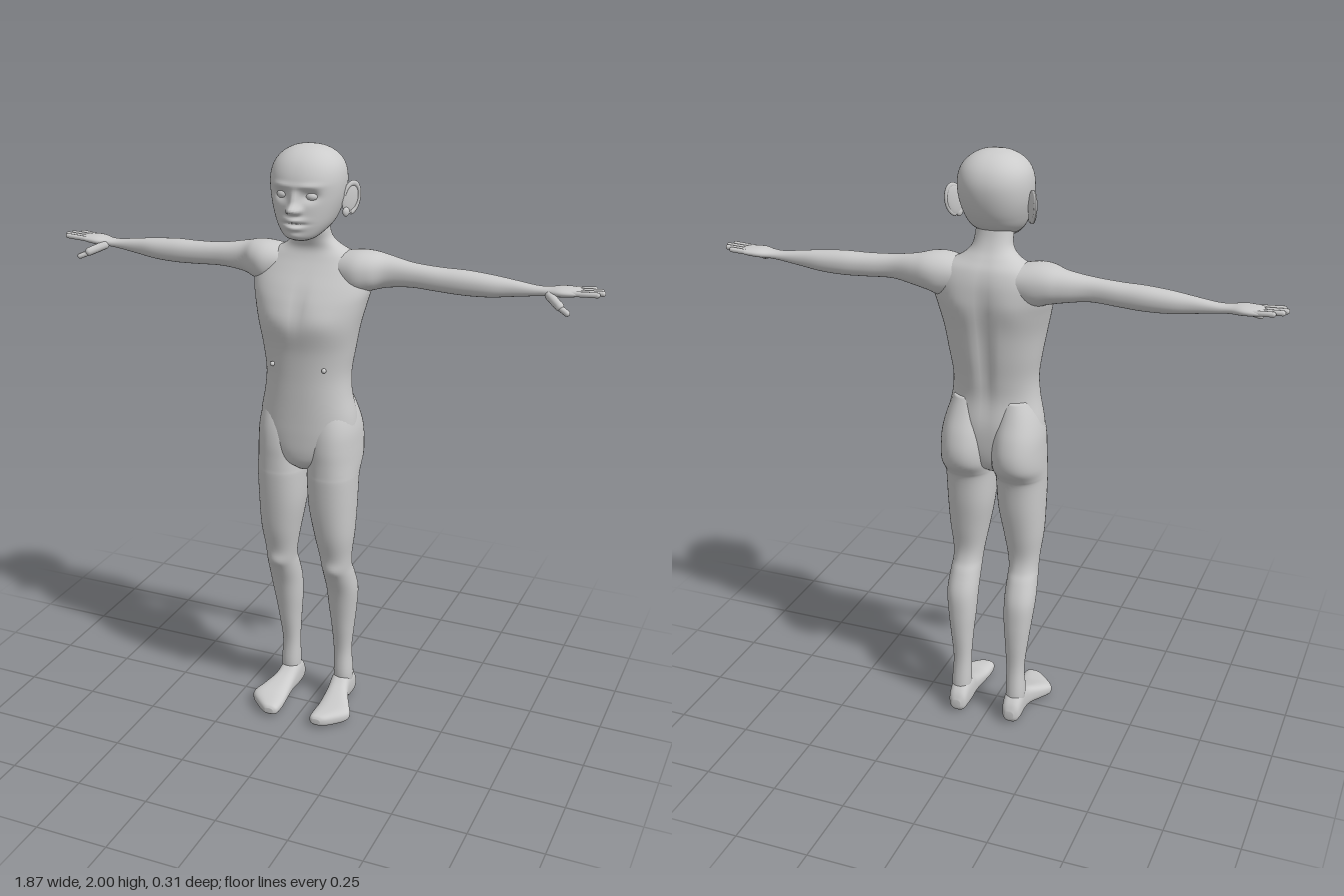
import * as THREE from 'three';

const skin = new THREE.MeshStandardMaterial({ color: 0xcccccc });

const spline = (a, b, c, d, t) =>
  0.5 * (2 * b + (c - a) * t + (2 * a - 5 * b + 4 * c - d) * t * t + (3 * b - a - 3 * c + d) * t * t * t);

// Smooth skin over rounded cross-sections. Row: [s, u0, u1, v0, v1], s along the axis.
// Axis y: u = x, v = z.  Axis x: u = y, v = z.  Axis z: u = x, v = y.
function loft(axis, rows, { sides = 40, steps = 5, power = 2.2, bumps = [] } = {}) {
  const place = {
    x: (s, u, v) => [s, u, v],
    y: (s, u, v) => [u, s, v],
    z: (s, u, v) => [u, v, s],
  }[axis];
  const round = (c) => Math.sign(c) * Math.abs(c) ** (2 / power);
  const last = rows.length - 1, rings = last * steps + 1;
  const pos = [], index = [];
  const tri = (a, b, c) => (axis === 'y' ? index.push(a, c, b) : index.push(a, b, c));
  for (let i = 0; i < rings; i++) {
    const k = Math.min(Math.floor(i / steps), last - 1), t = i / steps - k;
    const [s, u0, u1, v0, v1] = rows[k].map((b, n) =>
      spline(rows[Math.max(k - 1, 0)][n], b, rows[k + 1][n], rows[Math.min(k + 2, last)][n], t));
    for (let j = 0; j < sides; j++) {
      const a = (j / sides) * Math.PI * 2;
      const u = (u0 + u1) / 2 + (u1 - u0) / 2 * round(Math.cos(a));
      const v = (v0 + v1) / 2 + (v1 - v0) / 2 * round(Math.sin(a));
      pos.push(...place(s, u, v));
      if (i < rings - 1) {
        const p = i * sides + j, q = i * sides + (j + 1) % sides;
        tri(p, q, p + sides);
        tri(q, q + sides, p + sides);
      }
    }
  }
  // End caps
  for (const [row, start, flip] of [[rows[0], 0, true], [rows[last], (rings - 1) * sides, false]]) {
    const centre = pos.length / 3;
    pos.push(...place(row[0], (row[1] + row[2]) / 2, (row[3] + row[4]) / 2));
    for (let j = 0; j < sides; j++) {
      const p = start + j, q = start + (j + 1) % sides;
      flip ? tri(centre, q, p) : tri(centre, p, q);
    }
  }
  // Soft sculpting pushes along z: [x, y, z, radiusX, radiusY, push]
  for (let i = 0; i < pos.length; i += 3) {
    let dz = 0;
    for (const [x, y, z, rx, ry, push] of bumps) {
      dz += push * Math.exp(-(((pos[i] - x) / rx) ** 2) - ((pos[i + 1] - y) / ry) ** 2 - ((pos[i + 2] - z) / 0.06) ** 2);
    }
    pos[i + 2] += dz;
  }
  const geo = new THREE.BufferGeometry();
  geo.setAttribute('position', new THREE.Float32BufferAttribute(pos, 3));
  geo.setIndex(index);
  geo.computeVertexNormals();
  return geo;
}

// Symmetric rows: [y, halfWidth, back, front]
const even = (rows) => rows.map(([y, w, b, f]) => [y, -w, w, b, f]);
const both = (list) => list.flatMap(([x, ...rest]) => [[x, ...rest], [-x, ...rest]]);

function mirrored(geo) {
  const g = geo.clone().scale(-1, 1, 1);
  const ix = g.index.array;
  for (let i = 0; i < ix.length; i += 3) [ix[i], ix[i + 1]] = [ix[i + 1], ix[i]];
  g.computeVertexNormals();
  return g;
}

// Rounded finger joint between two points
function digit(a, b, r) {
  const from = new THREE.Vector3(...a), dir = new THREE.Vector3(...b).sub(from);
  const geo = new THREE.CapsuleGeometry(r, dir.length() - r, 6, 12, 4);
  geo.applyQuaternion(new THREE.Quaternion().setFromUnitVectors(new THREE.Vector3(0, 1, 0), dir.clone().normalize()));
  const mid = from.addScaledVector(dir, 0.5);
  return geo.translate(mid.x, mid.y, mid.z);
}

function ball(x, y, z, rx, ry, rz, turn = 0, tilt = 0) {
  return new THREE.SphereGeometry(1, 24, 16).scale(rx, ry, rz).rotateX(tilt).rotateY(turn).translate(x, y, z);
}

export function createModel() {
  const model = new THREE.Group();
  const add = (name, geo) => {
    const mesh = new THREE.Mesh(geo, skin);
    mesh.name = name;
    model.add(mesh);
  };
  const pair = (name, geo) => {
    add(name + 'Left', geo);
    add(name + 'Right', mirrored(geo));
  };

  // Torso and neck
  add('torso', loft('y', even([
    [0.93, 0.03, -0.05, 0.05], [0.96, 0.08, -0.09, 0.088], [1.0, 0.13, -0.105, 0.1],
    [1.06, 0.163, -0.112, 0.102], [1.12, 0.163, -0.112, 0.101], [1.2, 0.147, -0.102, 0.1],
    [1.27, 0.143, -0.108, 0.1], [1.35, 0.155, -0.12, 0.104], [1.43, 0.17, -0.13, 0.115],
    [1.5, 0.187, -0.138, 0.1], [1.55, 0.198, -0.14, 0.075], [1.6, 0.193, -0.137, 0.042],
    [1.64, 0.16, -0.125, 0.018], [1.67, 0.1, -0.105, 0.008], [1.7, 0.068, -0.085, 0.015],
    [1.74, 0.06, -0.07, 0.03], [1.8, 0.055, -0.06, 0.04],
  ]), {
    sides: 64,
    bumps: [
      [0, 1.38, -0.125, 0.022, 0.2, 0.016], [0, 1.5, 0.1, 0.02, 0.07, -0.008],
      ...both([[0.09, 1.53, -0.135, 0.05, 0.06, -0.008], [0.08, 1.46, 0.11, 0.06, 0.04, 0.006]]),
    ],
  }));
  pair('nipple', ball(0.09, 1.3, 0.089, 0.008, 0.008, 0.008));

  // Legs, with calves, knees and buttocks
  pair('leg', loft('y', [
    [0.03, 0.075, 0.125, -0.12, -0.06], [0.1, 0.068, 0.135, -0.12, -0.043], [0.2, 0.068, 0.13, -0.112, -0.045],
    [0.3, 0.062, 0.14, -0.117, -0.03], [0.38, 0.055, 0.15, -0.118, -0.015], [0.46, 0.052, 0.158, -0.112, 0.005],
    [0.53, 0.052, 0.155, -0.085, 0.035], [0.57, 0.052, 0.152, -0.065, 0.05], [0.62, 0.045, 0.155, -0.058, 0.06],
    [0.7, 0.03, 0.165, -0.07, 0.08], [0.8, 0.012, 0.17, -0.085, 0.093], [0.9, 0.006, 0.173, -0.095, 0.1],
    [0.93, 0.005, 0.174, -0.11, 0.1], [0.97, 0.004, 0.175, -0.142, 0.1], [1.02, 0.004, 0.174, -0.15, 0.1],
    [1.08, 0.008, 0.17, -0.138, 0.093], [1.14, 0.02, 0.155, -0.114, 0.075], [1.2, 0.035, 0.13, -0.09, 0.045],
  ], { bumps: [[0.102, 0.565, 0.05, 0.035, 0.025, 0.01]] }));

  // Feet, splayed toward the outside
  pair('foot', loft('z', [
    [-0.146, 0.085, 0.115, 0.02, 0.05], [-0.132, 0.07, 0.13, 0.004, 0.08], [-0.1, 0.065, 0.135, 0.0, 0.11],
    [-0.06, 0.063, 0.135, 0.004, 0.108], [-0.02, 0.065, 0.143, 0.008, 0.085], [0.03, 0.064, 0.168, 0.003, 0.066],
    [0.065, 0.062, 0.184, 0.0, 0.056], [0.09, 0.06, 0.175, 0.0, 0.052], [0.125, 0.06, 0.14, 0.003, 0.048],
    [0.142, 0.064, 0.12, 0.008, 0.044], [0.15, 0.075, 0.105, 0.015, 0.035],
  ], { power: 2.6 }));

  // Arms and palms
  pair('arm', loft('x', [
    [0.08, 1.55, 1.655, -0.12, 0.01], [0.15, 1.53, 1.668, -0.128, 0.03], [0.2, 1.543, 1.667, -0.125, 0.018],
    [0.25, 1.555, 1.656, -0.112, -0.012], [0.33, 1.565, 1.643, -0.092, -0.02], [0.42, 1.561, 1.637, -0.095, -0.02],
    [0.5, 1.558, 1.636, -0.1, -0.02], [0.58, 1.561, 1.63, -0.098, -0.025], [0.65, 1.57, 1.622, -0.09, -0.037],
    [0.72, 1.58, 1.613, -0.086, -0.043], [0.76, 1.585, 1.613, -0.09, -0.038], [0.8, 1.588, 1.618, -0.107, -0.026],
    [0.84, 1.592, 1.617, -0.11, -0.03], [0.865, 1.598, 1.613, -0.105, -0.036],
  ]));

  // Fingers: [z at knuckle, z at tip, tip x]
  [[-0.099, -0.103, 0.897], [-0.08, -0.083, 0.922], [-0.06, -0.062, 0.93], [-0.041, -0.04, 0.918]]
    .forEach(([z0, z1, tip], i) => pair('finger' + (i + 1), digit([0.83, 1.605, z0], [tip, 1.61, z1], 0.0085)));
  pair('thumbBase', digit([0.765, 1.594, -0.045], [0.815, 1.572, 0.002], 0.014));
  pair('thumb', digit([0.8, 1.575, -0.008], [0.842, 1.558, 0.014], 0.0095));

  // Head with brow, sockets, nose, lips and chin
  add('head', loft('y', even([
    [1.715, 0.03, 0.03, 0.09], [1.728, 0.055, 0.0, 0.11], [1.76, 0.084, -0.07, 0.117],
    [1.8, 0.102, -0.102, 0.118], [1.85, 0.115, -0.12, 0.117], [1.9, 0.118, -0.125, 0.116],
    [1.94, 0.109, -0.114, 0.101], [1.97, 0.086, -0.09, 0.076], [1.99, 0.052, -0.055, 0.042], [2.0, 0.008, -0.01, 0.0],
  ]), {
    sides: 112, steps: 10,
    bumps: [
      [0, 1.818, 0.12, 0.018, 0.015, 0.034], [0, 1.845, 0.12, 0.013, 0.025, 0.015],
      [0, 1.785, 0.12, 0.03, 0.009, 0.016], [0, 1.76, 0.12, 0.027, 0.009, 0.013],
      [0, 1.772, 0.13, 0.035, 0.004, -0.008], [0, 1.735, 0.11, 0.025, 0.014, 0.008],
      ...both([
        [0.018, 1.814, 0.12, 0.009, 0.009, 0.012], [0.048, 1.858, 0.11, 0.025, 0.017, -0.016],
        [0.045, 1.889, 0.11, 0.04, 0.009, 0.006],
      ]),
    ],
  }));
  pair('eye', ball(0.046, 1.857, 0.084, 0.023, 0.016, 0.02));

  // Ears: shell, rolled rim and lobe
  pair('ear', ball(0.126, 1.834, -0.034, 0.007, 0.05, 0.03, -0.65, -0.2));
  pair('earRim', new THREE.TorusGeometry(0.028, 0.0055, 10, 32, 4.4).rotateZ(-1.4).rotateY(Math.PI / 2)
    .scale(1, 1.65, 1).rotateX(-0.2).rotateY(-0.65).translate(0.129, 1.835, -0.034));
  pair('earLobe', ball(0.118, 1.793, -0.018, 0.008, 0.015, 0.013, -0.5));

  return model;
}
